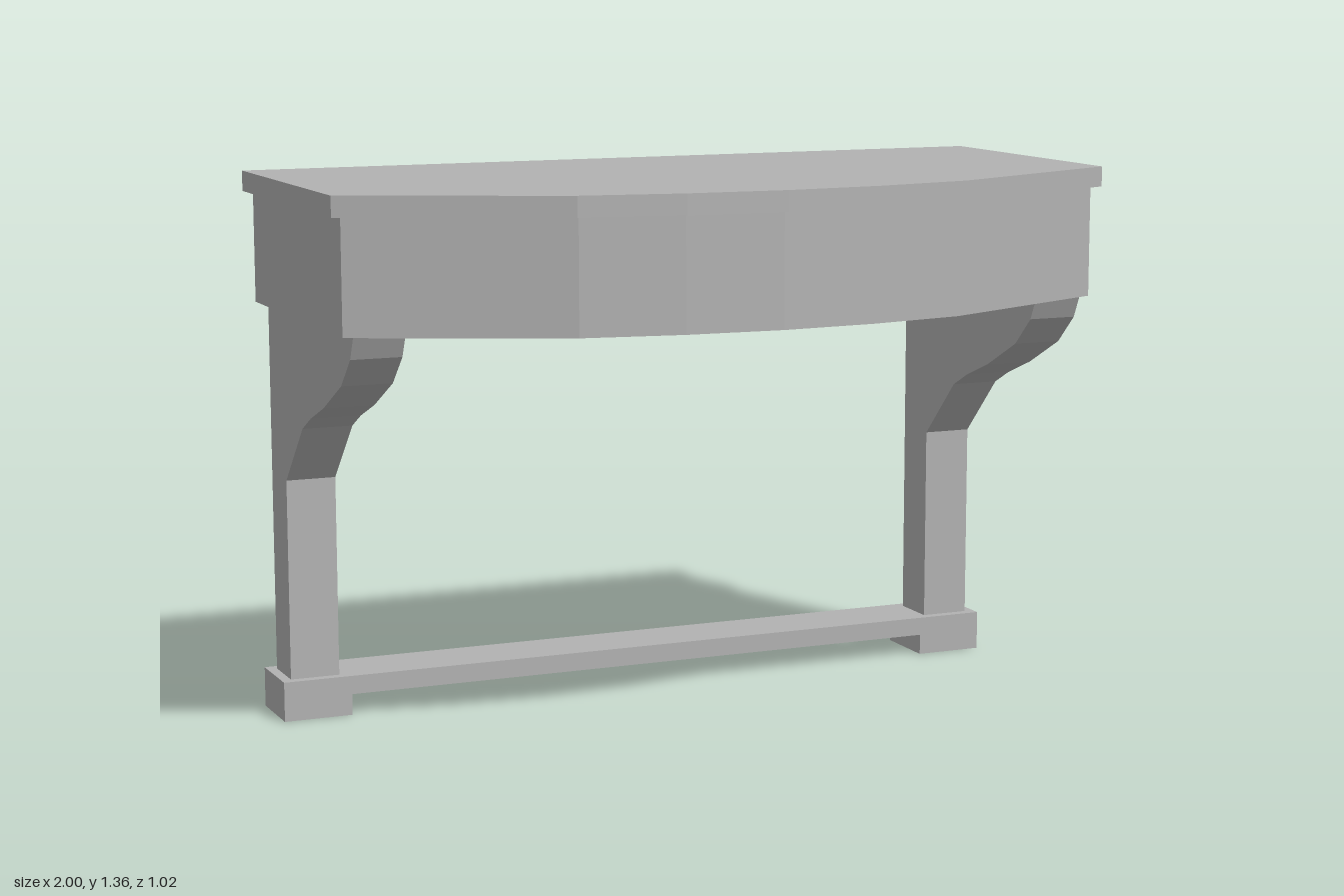
import * as THREE from 'three';

const wood = new THREE.MeshStandardMaterial({ name: 'plain grey', color: 0xb2b2b2, flatShading: true });

// Extrudes a closed outline along z
function prism(points, depth) {
  const shape = new THREE.Shape(points.map(([x, y]) => new THREE.Vector2(x, y)));
  return new THREE.ExtrudeGeometry(shape, { depth, bevelEnabled: false });
}

function addPart(group, name, geometry) {
  const mesh = new THREE.Mesh(geometry, wood);
  mesh.name = name;
  group.add(mesh);
}

// Bow-fronted slab: half of the front edge is given as [x, z] and mirrored
function bowSlab(front, back, bottom, top) {
  const half = front.map(([x, z]) => [x, -z]);
  const mirrored = half.slice(0, -1).reverse().map(([x, y]) => [-x, y]);
  const side = front[0][0];
  const outline = [[side, -back], ...half, ...mirrored, [-side, -back]];
  return prism(outline, top - bottom).rotateX(-Math.PI / 2).translate(0, bottom, 0);
}

export function createModel() {
  const table = new THREE.Group();
  table.name = 'consoleTable';

  // Thin overhanging top and the deep apron below it
  addPart(table, 'tableTop',
    bowSlab([[1, 0.225], [0.495, 0.45], [0.245, 0.495], [0, 0.51]], -0.515, 1.305, 1.355));
  addPart(table, 'apron',
    bowSlab([[0.975, 0.213], [0.485, 0.432], [0.24, 0.475], [0, 0.49]], -0.51, 1.03, 1.305));

  // Legs that sweep forward into scrolled brackets, as [z, y]
  const legProfile = [
    [-0.485, 0.1], [-0.36, 0.1], [-0.36, 0.603], [-0.21, 0.755], [-0.14, 0.79],
    [-0.03, 0.832], [0.113, 0.904], [0.187, 0.975], [0.213, 1.03], [-0.485, 1.03],
  ];
  for (const [name, centre] of [['leftLeg', 0.8875], ['rightLeg', -0.8875]]) {
    addPart(table, name,
      prism(legProfile, 0.125).rotateY(-Math.PI / 2).translate(centre + 0.0625, 0, 0));
  }

  // Floor rail with a foot at each end, as [x, y]
  const railOutline = [
    [-0.975, 0], [-0.8, 0], [-0.8, 0.053], [0.8, 0.053],
    [0.8, 0], [0.975, 0], [0.975, 0.1], [-0.975, 0.1],
  ];
  addPart(table, 'footRail', prism(railOutline, 0.175).translate(0, 0, -0.51));

  return table;
}
